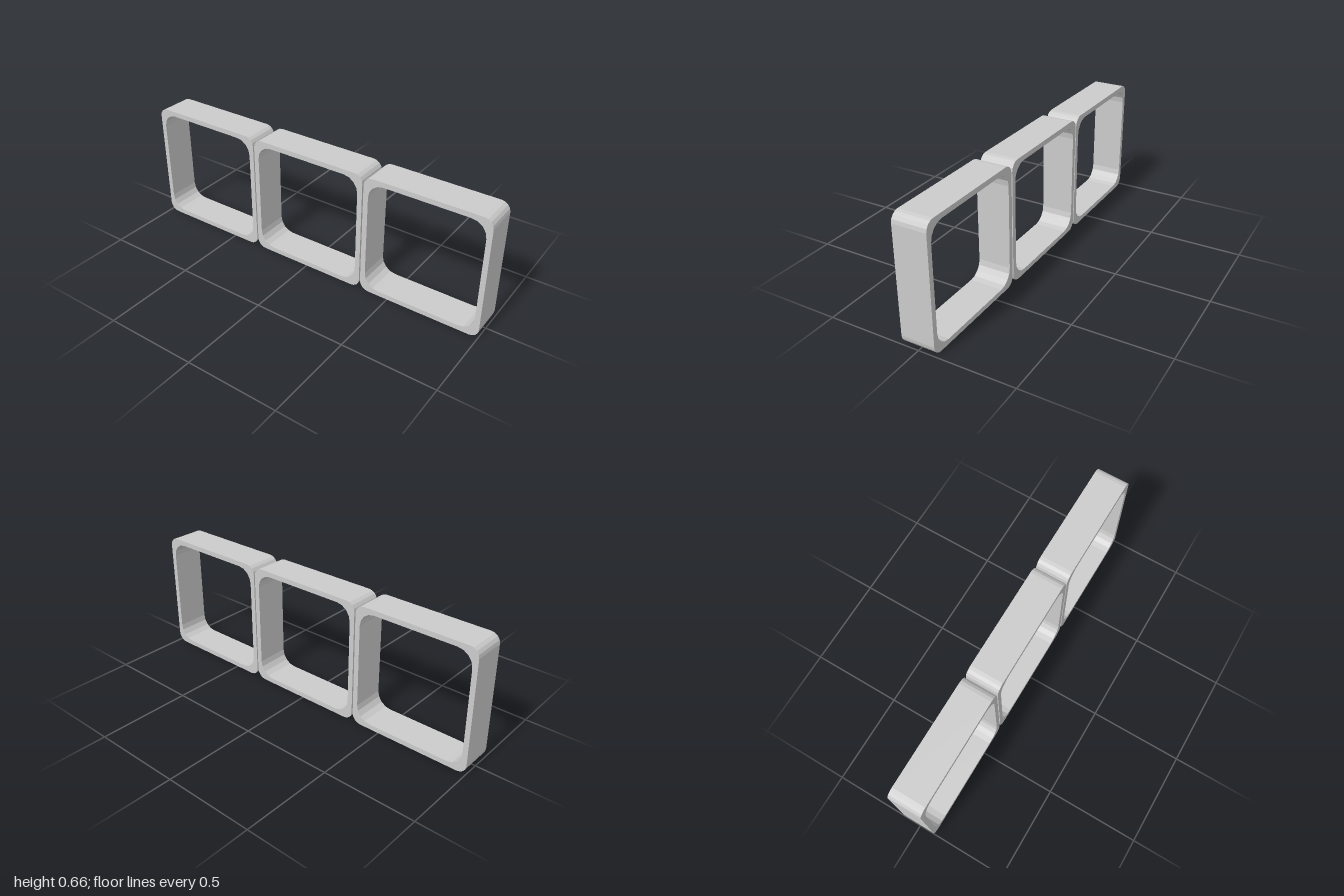
import * as THREE from 'three';

// Adds a rounded square of half-size h and corner radius r, centred on the origin
function roundedSquare(path, h, r) {
  const c = h - r;
  const corners = [[c, c], [-c, c], [-c, -c], [c, -c]];
  path.moveTo(h, -c);
  corners.forEach(([x, y], i) => {
    const a = i * Math.PI / 2;
    path.lineTo(x + r * Math.cos(a), y + r * Math.sin(a));
    path.absarc(x, y, r, a, a + Math.PI / 2, false);
  });
  path.closePath();
  return path;
}

export function createModel() {
  const half = 0.331, wall = 0.027, depth = 0.178;
  const material = new THREE.MeshStandardMaterial({ color: 0xcccccc, flatShading: true });

  // Square ring with two facets per corner, running across x
  const shape = roundedSquare(new THREE.Shape(), half, 0.049);
  shape.holes.push(roundedSquare(new THREE.Path(), half - wall, 0.08));
  const ring = new THREE.ExtrudeGeometry(shape, { depth, bevelEnabled: false, curveSegments: 2 });
  ring.translate(0, 0, -depth / 2);
  ring.rotateY(Math.PI / 2);

  // Three rings in a row with narrow gaps
  const group = new THREE.Group();
  group.name = 'squareFrames';
  ['backFrame', 'middleFrame', 'frontFrame'].forEach((name, i) => {
    const frame = new THREE.Mesh(ring, material);
    frame.name = name;
    frame.position.set(0, half, (i - 1) * (1 - half));
    group.add(frame);
  });
  return group;
}
